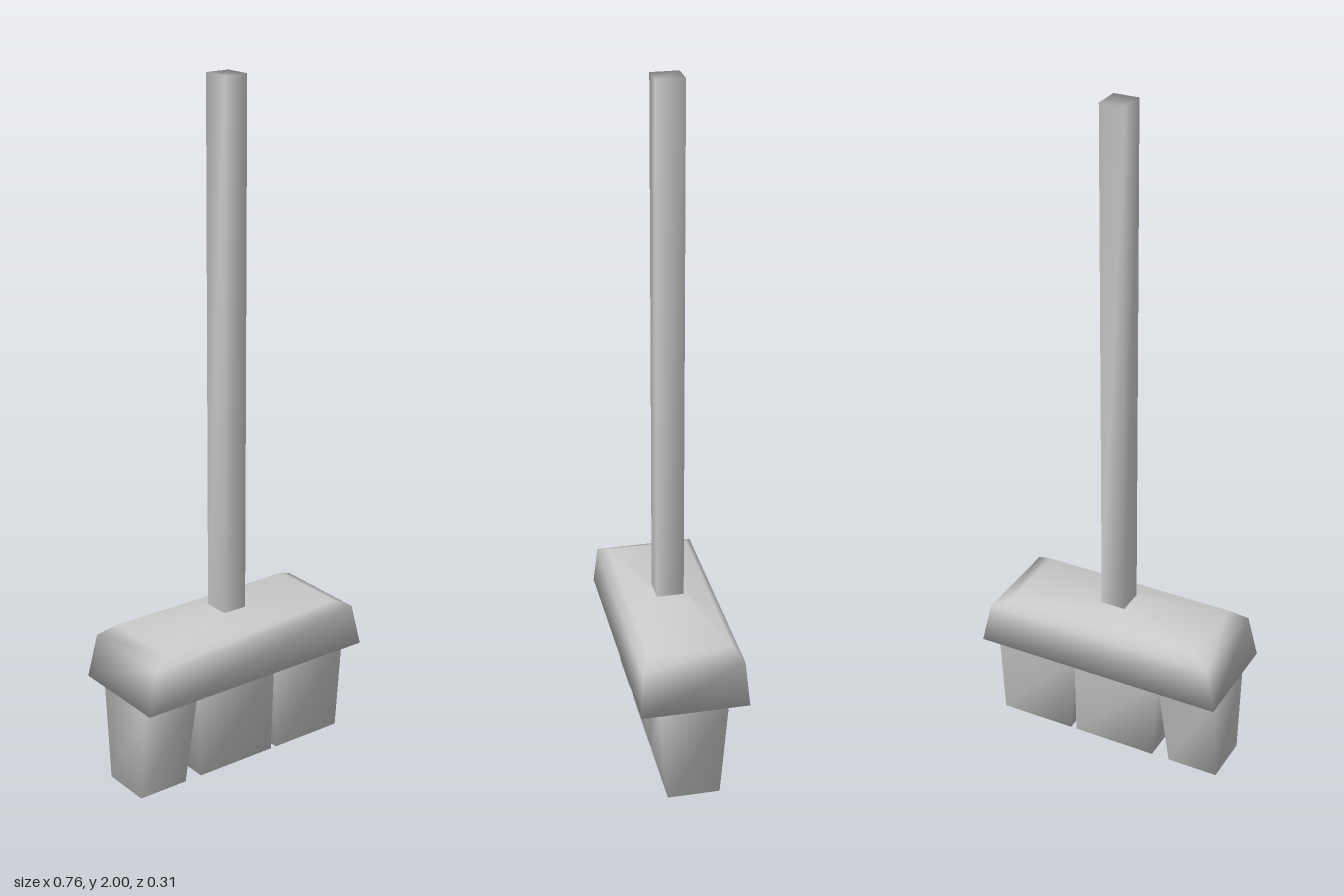
import * as THREE from 'three';

// Smooth-shaded loft through rectangular rings [y, xMin, xMax, zHalf], bottom to top.
function loft(name, rings) {
  const pos = [];
  const idx = [];
  for (const [y, x0, x1, z] of rings) pos.push(x1, y, z, x1, y, -z, x0, y, -z, x0, y, z);
  for (let r = 0; r < rings.length - 1; r++) {
    for (let i = 0; i < 4; i++) {
      const a = r * 4 + i, b = r * 4 + ((i + 1) % 4);
      idx.push(a, b, b + 4, a, b + 4, a + 4);
    }
  }
  // End caps share the ring vertices so the edges shade softly
  const t = (rings.length - 1) * 4;
  idx.push(0, 2, 1, 0, 3, 2, t, t + 1, t + 2, t, t + 2, t + 3);
  const geo = new THREE.BufferGeometry();
  geo.setAttribute('position', new THREE.Float32BufferAttribute(pos, 3));
  geo.setIndex(idx);
  geo.computeVertexNormals();
  const mesh = new THREE.Mesh(geo, new THREE.MeshStandardMaterial({ color: 0xcccccc }));
  mesh.name = name;
  return mesh;
}

export function createModel() {
  const group = new THREE.Group();
  group.name = 'broom';

  // Square pole
  group.add(loft('handle', [[0.46, -0.037, 0.037, 0.04], [2, -0.037, 0.037, 0.04]]));

  // Flared head with bevelled shoulders rising to the pole
  group.add(loft('head', [
    [0.3, -0.38, 0.38, 0.155],
    [0.425, -0.352, 0.352, 0.146],
    [0.45, -0.3, 0.3, 0.122],
    [0.473, -0.037, 0.037, 0.04],
  ]));

  // Three bristle clumps: [top left, top right, bottom left, bottom right]
  const bristles = new THREE.Group();
  bristles.name = 'bristles';
  const clumps = [
    [-0.36, -0.176, -0.36, -0.205],
    [-0.176, 0.099, -0.15, 0.108],
    [0.099, 0.357, 0.127, 0.357],
  ];
  clumps.forEach(([t0, t1, b0, b1], i) => {
    bristles.add(loft(`bristleClump${i + 1}`, [[0, b0, b1, 0.076], [0.29, t0, t1, 0.099], [0.31, t0, t1, 0.1]]));
  });
  group.add(bristles);
  return group;
}
